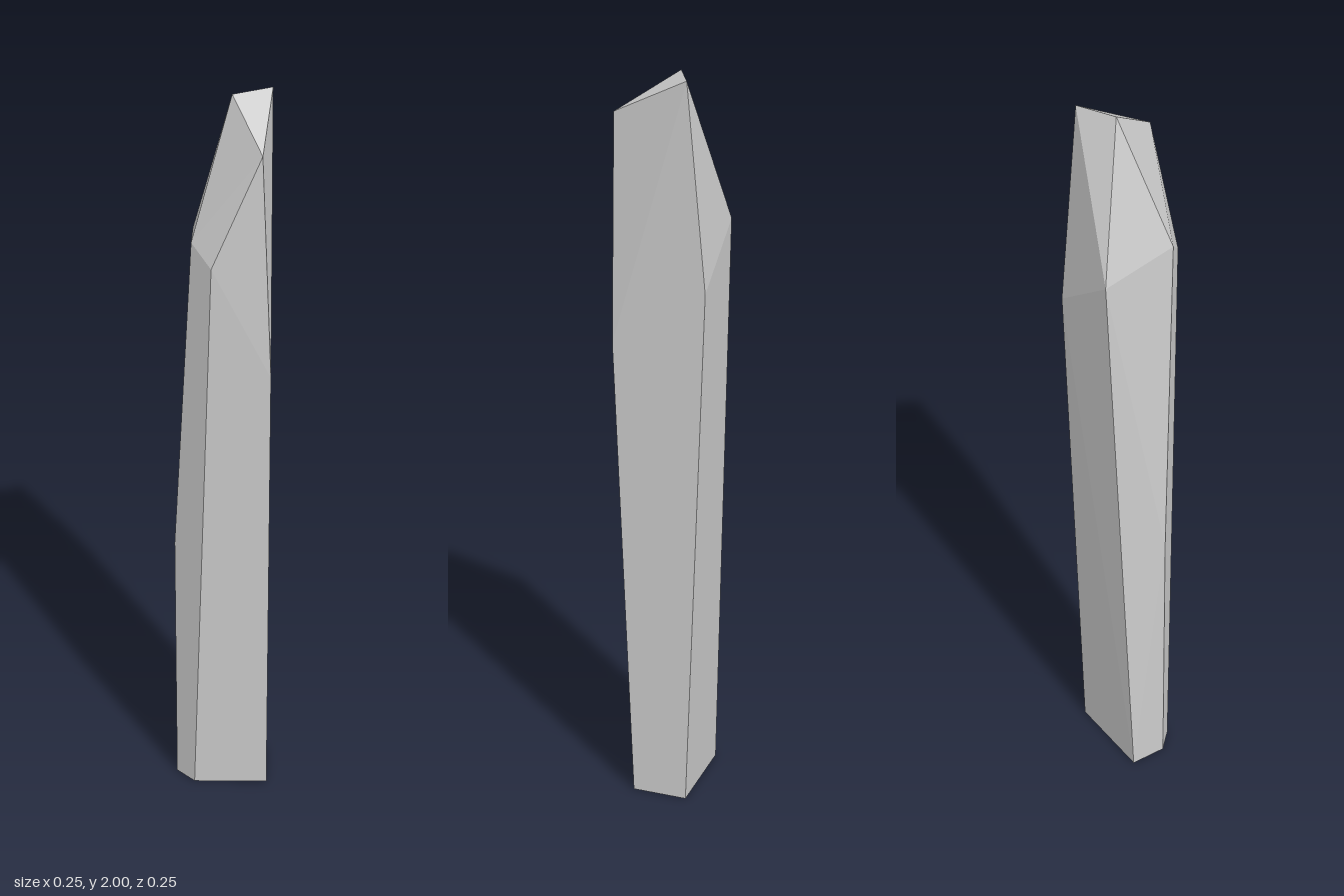
import * as THREE from 'three';
import { ConvexGeometry } from 'three/addons/geometries/ConvexGeometry.js';

// Faceted stone shard: the convex hull of a few corner points per level.
export function createModel() {
  const group = new THREE.Group();
  group.name = 'stoneShard';

  // Flat foot
  const foot = [
    [-0.075, 0, 0.075], [0.125, 0, 0.075], [0.125, 0, -0.075],
    [-0.125, 0, -0.075], [-0.125, 0, 0.025],
  ];
  // Widest points of the shaft
  const shaft = [[-0.125, 0.75, 0.025], [0.125, 1.3, 0.125], [0.125, 1.46, -0.125]];
  // Shoulder where the shaft breaks into the tip
  const shoulder = [[-0.025, 1.6, 0.125], [-0.075, 1.6, -0.125], [-0.075, 1.65, 0.075]];
  // Chipped tip
  const tip = [[0.1, 1.9, 0.125], [0.025, 2, -0.025], [0.125, 2, -0.075]];

  const points = [...foot, ...shaft, ...shoulder, ...tip]
    .map((p) => new THREE.Vector3(...p));
  const material = new THREE.MeshStandardMaterial({ color: 0xcccccc, flatShading: true });
  const shard = new THREE.Mesh(new ConvexGeometry(points), material);
  shard.name = 'shard';
  group.add(shard);
  return group;
}
